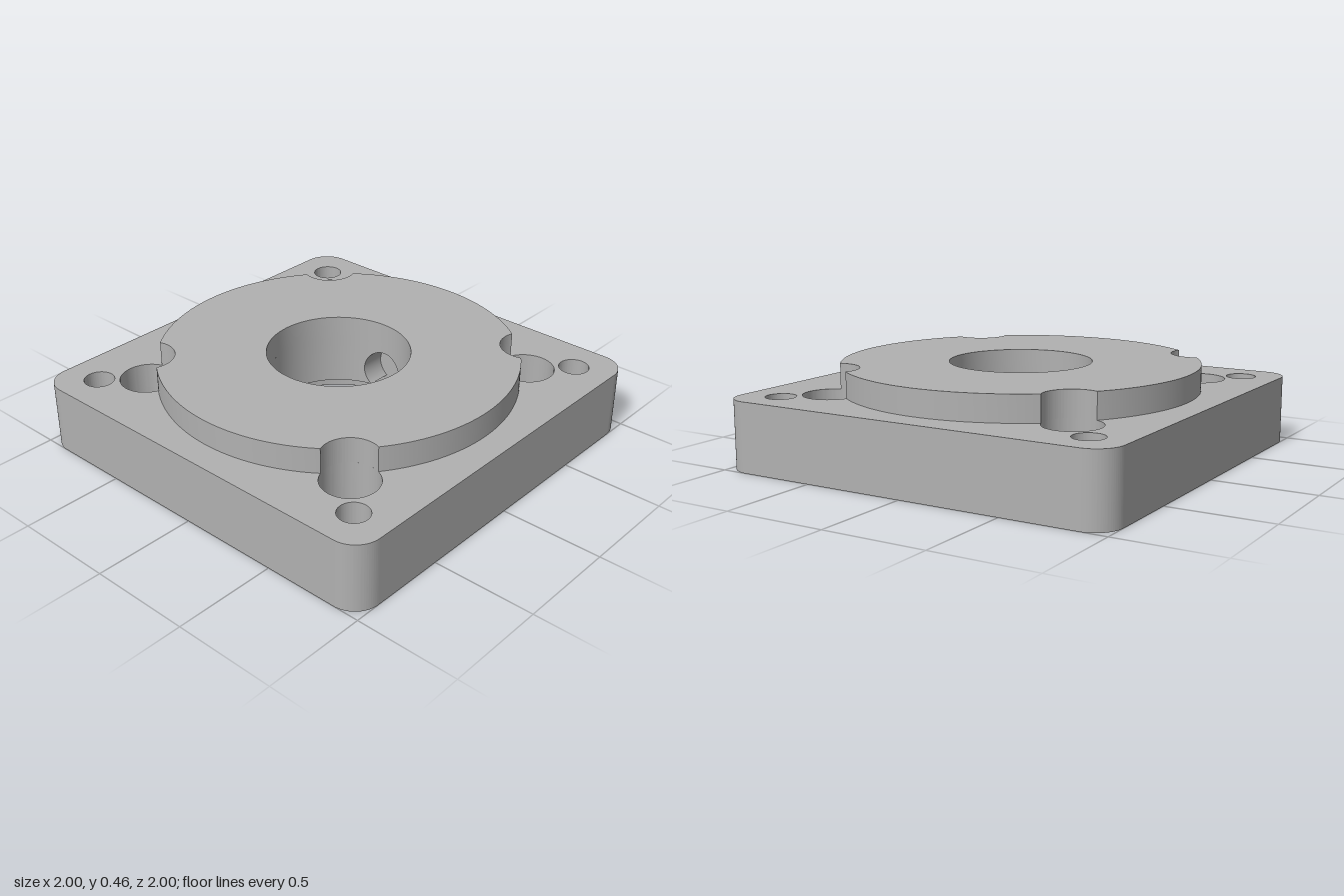
import * as THREE from 'three';
import { toCreasedNormals } from 'three/addons/utils/BufferGeometryUtils.js';

const BORE = 0.345, RECESS = 0.467, LEDGE = 0.1;      // central bore and underside recess
const FLOOR = 0.12, PLATE = 0.335, TOP = 0.46;        // heights
const BOSS = 0.865, POCKET = 0.135, SCREW = 0.073;    // radii
const POCKET_AT = 0.645, CORNER_AT = 0.81;
const PORT = 0.115, PORT_Y = 0.185;                   // cross port in the bore wall

const metal = new THREE.MeshStandardMaterial({ color: 0xb1b1b1, side: THREE.DoubleSide });
metal.name = 'grey metal';

function add(parent, name, geometry) {
  const mesh = new THREE.Mesh(geometry, metal);
  mesh.name = name;
  parent.add(mesh);
  return mesh;
}

function punch(shape, x, y, r) {
  shape.holes.push(new THREE.Path().absarc(x, y, r, 0, Math.PI * 2, true));
}

function punchFour(shape, at, r) {
  for (const sx of [-1, 1]) for (const sy of [-1, 1]) punch(shape, sx * at, sy * at, r);
}

function roundedSquare(half, r) {
  const s = new THREE.Shape();
  const c = half - r;
  [[c, c], [-c, c], [-c, -c], [c, -c]].forEach(([x, y], i) =>
    s.absarc(x, y, r, i * Math.PI / 2, (i + 1) * Math.PI / 2, false));
  s.closePath();
  return s;
}

// Upright slab from a plan shape
function slab(shape, y0, y1) {
  const g = new THREE.ExtrudeGeometry(shape, { depth: y1 - y0, bevelEnabled: false, curveSegments: 48 });
  g.rotateX(-Math.PI / 2).translate(0, y0, 0);
  return toCreasedNormals(g, 0.6);
}

// Ruled surface between two curves a(t) and b(t)
function ruled(a, b, t0, t1, n) {
  const pos = [], index = [];
  for (let i = 0; i <= n; i++) {
    const t = t0 + (t1 - t0) * i / n;
    pos.push(...a(t), ...b(t));
    if (i < n) index.push(2 * i, 2 * i + 1, 2 * i + 2, 2 * i + 1, 2 * i + 3, 2 * i + 2);
  }
  const g = new THREE.BufferGeometry();
  g.setAttribute('position', new THREE.Float32BufferAttribute(pos, 3));
  g.setIndex(index);
  g.computeVertexNormals();
  return g;
}

// Boss disc bitten by the four screw pockets
function bossShape() {
  const s = new THREE.Shape();
  const d = POCKET_AT * Math.SQRT2;
  const a = Math.acos((d * d + BOSS * BOSS - POCKET * POCKET) / (2 * d * BOSS));
  const b = Math.acos((d * d + POCKET * POCKET - BOSS * BOSS) / (2 * d * POCKET));
  for (let i = 0; i < 4; i++) {
    const q = Math.PI / 4 + i * Math.PI / 2;
    s.absarc(d * Math.cos(q), d * Math.sin(q), POCKET, q + Math.PI + b, q + Math.PI - b, true);
    s.absarc(0, 0, BOSS, q + a, q + Math.PI / 2 - a, false);
  }
  s.closePath();
  punch(s, 0, 0, BORE);
  return s;
}

// One half of the bore lining, with its port and open slot in the ledge
function boreHalf() {
  const half = new THREE.Group();
  half.name = 'boreHalf';
  const dip = Math.asin((PORT_Y - LEDGE) / PORT);
  const slot = PORT * Math.cos(dip);
  const edge = (radius) => (p) => {
    const x = PORT * Math.cos(p);
    return [x, PORT_Y + PORT * Math.sin(p), Math.sqrt(radius * radius - x * x)];
  };
  const rim = edge(BORE);
  const atHeight = (y) => (p) => [rim(p)[0], y, rim(p)[2]];
  const wall = (y) => (t) => [BORE * Math.sin(t), y, BORE * Math.cos(t)];
  const alpha = Math.asin(PORT / BORE);

  add(half, 'boreWall', ruled(wall(LEDGE), wall(PLATE), alpha, Math.PI - alpha, 40));
  add(half, 'wallAbovePort', ruled(rim, atHeight(PLATE), Math.PI, 0, 32));
  add(half, 'wallBelowPortLeft', ruled(atHeight(LEDGE), rim, -dip, 0, 10));
  add(half, 'wallBelowPortRight', ruled(atHeight(LEDGE), rim, Math.PI, Math.PI + dip, 10));
  add(half, 'portTunnel', ruled(rim, edge(RECESS), -dip, Math.PI + dip, 48));

  const o = Math.PI / 2 - Math.asin(slot / RECESS);
  const i = Math.PI / 2 - Math.asin(slot / BORE);
  const ledge = new THREE.Shape();
  ledge.absarc(0, 0, RECESS, -o, o, false);
  ledge.absarc(0, 0, BORE, i, -i, true);
  ledge.closePath();
  add(half, 'recessLedge', new THREE.ShapeGeometry(ledge, 48).rotateX(Math.PI / 2).translate(0, LEDGE, 0));
  return half;
}

export function createModel() {
  const model = new THREE.Group();
  model.name = 'flangePlate';

  // Lower plate with screw holes and the wide recess
  const lower = roundedSquare(1, 0.13);
  punch(lower, 0, 0, RECESS);
  punchFour(lower, POCKET_AT, SCREW);
  punchFour(lower, CORNER_AT, SCREW);
  add(model, 'lowerPlate', slab(lower, 0, FLOOR));

  // Upper plate with the screw head pockets
  const upper = roundedSquare(1, 0.13);
  punch(upper, 0, 0, RECESS);
  punchFour(upper, POCKET_AT, POCKET);
  punchFour(upper, CORNER_AT, SCREW);
  add(model, 'upperPlate', slab(upper, FLOOR, PLATE));

  // Raised round boss
  add(model, 'boss', slab(bossShape(), PLATE, TOP));

  // Bore lining, repeated front and back
  for (const turn of [0, Math.PI]) {
    const half = boreHalf();
    half.rotation.y = turn;
    model.add(half);
  }
  return model;
}
